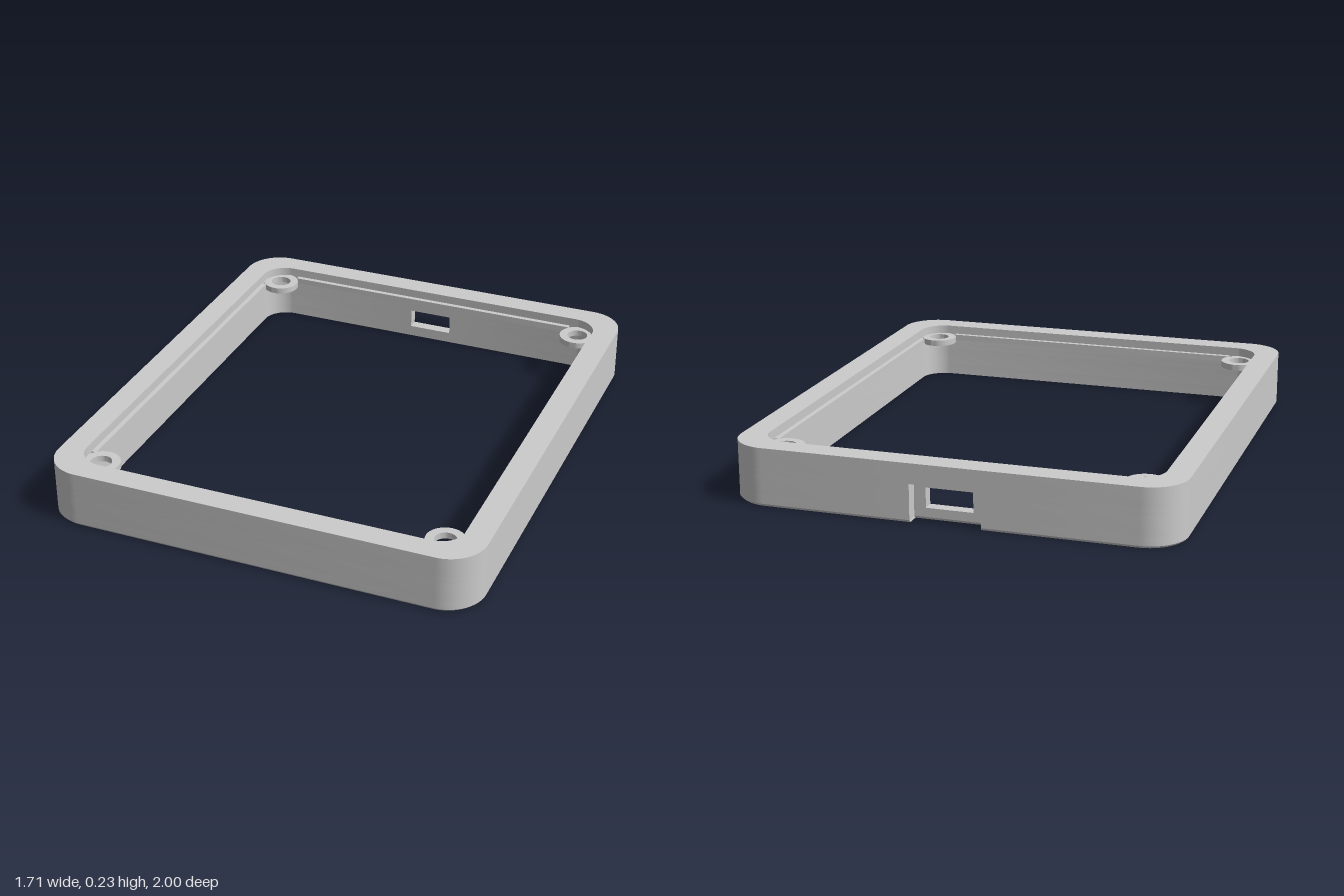
import * as THREE from 'three';
import { toCreasedNormals } from 'three/addons/utils/BufferGeometryUtils.js';

const W = 0.855, L = 1, H = 0.225;        // outer half width, half length, height
const IW = 0.76, IL = 0.905;              // inner opening half sizes
const PORT = 0.09, RECESS = 0.135, DEPTH = 0.05;
const material = new THREE.MeshStandardMaterial({ color: 0xcccccc });

// Clockwise rounded rectangle, starting and ending beside the middle of the back edge
function roundedLoop(w, l, r, gap) {
  const pts = [new THREE.Vector2(gap, l)];
  [[w - r, l - r, 90], [w - r, r - l, 0], [r - w, r - l, -90], [r - w, l - r, -180]].forEach(([cx, cy, start]) => {
    for (let i = 0; i <= 16; i++) {
      const a = THREE.MathUtils.degToRad(start - (90 * i) / 16);
      pts.push(new THREE.Vector2(cx + r * Math.cos(a), cy + r * Math.sin(a)));
    }
  });
  pts.push(new THREE.Vector2(-gap, l));
  return pts;
}

// Extrudes a plan outline between two heights
function slab(shape, y0, y1) {
  const g = new THREE.ExtrudeGeometry(shape, { depth: y1 - y0, bevelEnabled: false, curveSegments: 24 });
  return g.rotateX(-Math.PI / 2).translate(0, y0, 0);
}

function add(parent, name, geometry) {
  const mesh = new THREE.Mesh(toCreasedNormals(geometry, 0.5), material);
  mesh.name = name;
  parent.add(mesh);
  return mesh;
}

// Plan of the wall: solid, recessed at the back, or cut through by the port
function wallShape(kind) {
  const v = (x, y) => new THREE.Vector2(x, y);
  const inner = roundedLoop(IW, IL, 0.1, PORT).reverse();
  const outer = roundedLoop(W, L, 0.145, RECESS);
  const floor = L - DEPTH;
  if (kind !== 'solid') outer.push(v(-RECESS, floor));
  if (kind === 'port') outer.push(v(-PORT, floor), ...inner, v(PORT, floor));
  if (kind !== 'solid') outer.push(v(RECESS, floor));
  const shape = new THREE.Shape(outer);
  if (kind !== 'port') shape.holes.push(new THREE.Path(inner));
  return shape;
}

export function createModel() {
  const model = new THREE.Group();
  model.name = 'enclosureFrame';

  // Wall, stacked in bands around the port
  const wall = new THREE.Group();
  wall.name = 'wall';
  model.add(wall);
  const foot = slab(wallShape('recess'), 0, 0.01);
  const p = foot.attributes.position;
  for (let i = 0; i < p.count; i++) {
    // Small chamfer around the outer bottom edge
    if (p.getY(i) < 0.001 && (Math.abs(p.getX(i)) > IW + 0.001 || Math.abs(p.getZ(i)) > IL + 0.001)) {
      p.setX(i, p.getX(i) * 0.991);
      p.setZ(i, p.getZ(i) * 0.992);
    }
  }
  add(wall, 'bottomChamfer', foot);
  add(wall, 'lowerWall', slab(wallShape('recess'), 0.01, 0.045));
  add(wall, 'portWall', slab(wallShape('port'), 0.045, 0.122));
  add(wall, 'recessTopWall', slab(wallShape('recess'), 0.122, 0.147));
  add(wall, 'upperWall', slab(wallShape('solid'), 0.147, H));

  // Screw tabs in the corners
  const tab = new THREE.Shape().absarc(0, 0, 0.075, 0, Math.PI * 2);
  tab.holes.push(new THREE.Path().absarc(0, 0, 0.042, 0, Math.PI * 2));
  for (const x of [-0.69, 0.69]) for (const z of [-0.832, 0.832]) {
    add(model, 'screwTab', slab(tab, 0.165, 0.19)).position.set(x, 0, z);
  }

  // Thin ledges along the inner walls between the tabs
  for (const s of [-1, 1]) {
    add(model, 'sideLedge', new THREE.BoxGeometry(0.03, 0.025, 1.56)).position.set(s * 0.755, 0.1775, 0);
    add(model, 'endLedge', new THREE.BoxGeometry(1.27, 0.025, 0.03)).position.set(0, 0.1775, s * 0.9);
  }
  return model;
}
